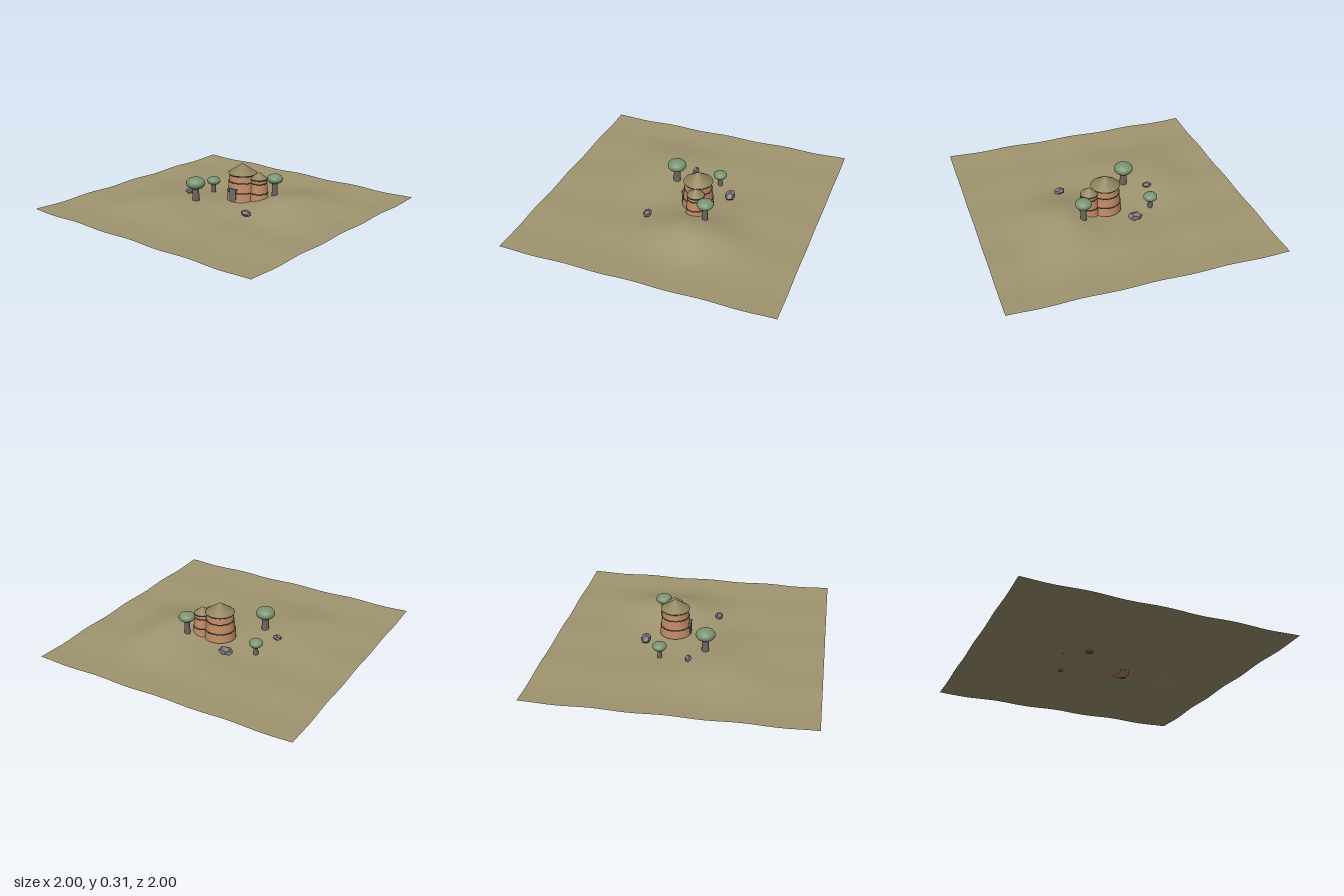
import * as THREE from 'three';

const mat = (name, color, extra = {}) => {
  const m = new THREE.MeshStandardMaterial({ color, ...extra });
  m.name = name;
  return m;
};

// Rolling ground with two hills
const hill = (x, z, cx, cz, sx, sz, h) =>
  h * Math.exp(-((x - cx) ** 2) / (2 * sx * sx) - ((z - cz) ** 2) / (2 * sz * sz));
const groundY = (x, z) =>
  0.012 + 0.004 * Math.cos(12.2 * x + 0.3) + 0.004 * Math.cos(12.6 * z)
  + hill(x, z, 0.38, -0.21, 0.18, 0.22, 0.088)
  + hill(x, z, -0.34, 0.26, 0.21, 0.19, 0.048);

export function createModel() {
  const model = new THREE.Group();
  model.name = 'village';
  const mats = {
    ground: mat('dry grass', 0xa09570, { side: THREE.DoubleSide }),
    wall: mat('clay wall', 0xc08a66),
    roof: mat('thatch', 0x8f835d),
    band: mat('dark band', 0x4e453c),
    door: mat('grey door', 0x70706e),
    leaf: mat('leaves', 0x7a9470),
    trunk: mat('trunk', 0x6e6660),
    rock: mat('rock', 0x7f767a, { flatShading: true }),
  };
  const add = (parent, name, geo, material, x = 0, y = 0, z = 0) => {
    const m = new THREE.Mesh(geo, material);
    m.name = name;
    m.position.set(x, y, z);
    parent.add(m);
    return m;
  };

  // Terrain
  const land = new THREE.PlaneGeometry(2, 2, 80, 80).rotateX(-Math.PI / 2);
  const p = land.attributes.position;
  for (let i = 0; i < p.count; i++) p.setY(i, groundY(p.getX(i), p.getZ(i)));
  land.computeVertexNormals();
  add(model, 'terrain', land, mats.ground);

  // Tapered round tower with bands and a conical roof
  const tower = (name, x, z, rBase, rTop, base, eave, apex, rRoof) => {
    const g = new THREE.Group();
    g.name = name;
    g.position.set(x, 0, z);
    model.add(g);
    const h = eave - base;
    const radiusAt = (y) => rBase + (rTop - rBase) * (y - base) / h;
    add(g, 'wall', new THREE.CylinderGeometry(rTop, rBase, h, 32), mats.wall, 0, base + h / 2, 0);
    for (const y of [0.105, 0.18]) {
      add(g, 'band', new THREE.TorusGeometry(radiusAt(y), 0.004, 6, 32).rotateX(Math.PI / 2), mats.band, 0, y, 0);
    }
    add(g, 'eaveRing', new THREE.TorusGeometry(rTop + 0.002, 0.006, 6, 32).rotateX(Math.PI / 2), mats.band, 0, eave - 0.006, 0);
    add(g, 'roof', new THREE.ConeGeometry(rRoof, apex - eave, 32), mats.roof, 0, (apex + eave) / 2, 0);
    return g;
  };
  const main = tower('mainTower', 0.043, -0.118, 0.118, 0.096, 0.038, 0.24, 0.314, 0.109);
  tower('sideTower', 0.176, -0.148, 0.074, 0.057, 0.045, 0.215, 0.262, 0.062);

  // Doorway with a dark lintel
  add(main, 'door', new THREE.BoxGeometry(0.054, 0.085, 0.02), mats.door, 0, 0.085, 0.108);
  add(main, 'lintel', new THREE.BoxGeometry(0.066, 0.012, 0.026), mats.door, 0, 0.131, 0.108);

  // Trees: x, z, crown centre height, crown radius, crown half height, trunk radius
  const trees = [
    [-0.193, 0.144, 0.173, 0.072, 0.046, 0.028],
    [-0.29, -0.176, 0.099, 0.052, 0.033, 0.018],
    [0.25, -0.247, 0.2, 0.061, 0.037, 0.023],
  ];
  for (const [x, z, y, r, ry, rt] of trees) {
    const g = new THREE.Group();
    g.name = 'tree';
    g.position.set(x, 0, z);
    model.add(g);
    const y0 = groundY(x, z) - 0.008;
    add(g, 'trunk', new THREE.CylinderGeometry(rt * 0.85, rt, y - y0, 12), mats.trunk, 0, (y + y0) / 2, 0);
    add(g, 'crown', new THREE.SphereGeometry(r, 20, 14).scale(1, ry / r, 1), mats.leaf, 0, y, 0);
  }

  // Boulders: x, y, z and half sizes
  const rocks = [
    [-0.12, 0.054, -0.313, 0.058, 0.034, 0.038],
    [-0.348, 0.056, 0.043, 0.036, 0.022, 0.025],
    [0.31, 0.055, 0.176, 0.044, 0.024, 0.031],
  ];
  rocks.forEach(([x, y, z, a, b, c], i) => {
    const geo = new THREE.DodecahedronGeometry(1, 0).rotateY(0.3 + i * 0.8).scale(a, b, c);
    add(model, 'rock', geo, mats.rock, x, y, z);
  });

  // Rest the lowest point of the land on y = 0
  land.computeBoundingBox();
  const low = land.boundingBox.min.y;
  model.children.forEach((c) => { c.position.y -= low; });
  return model;
}
